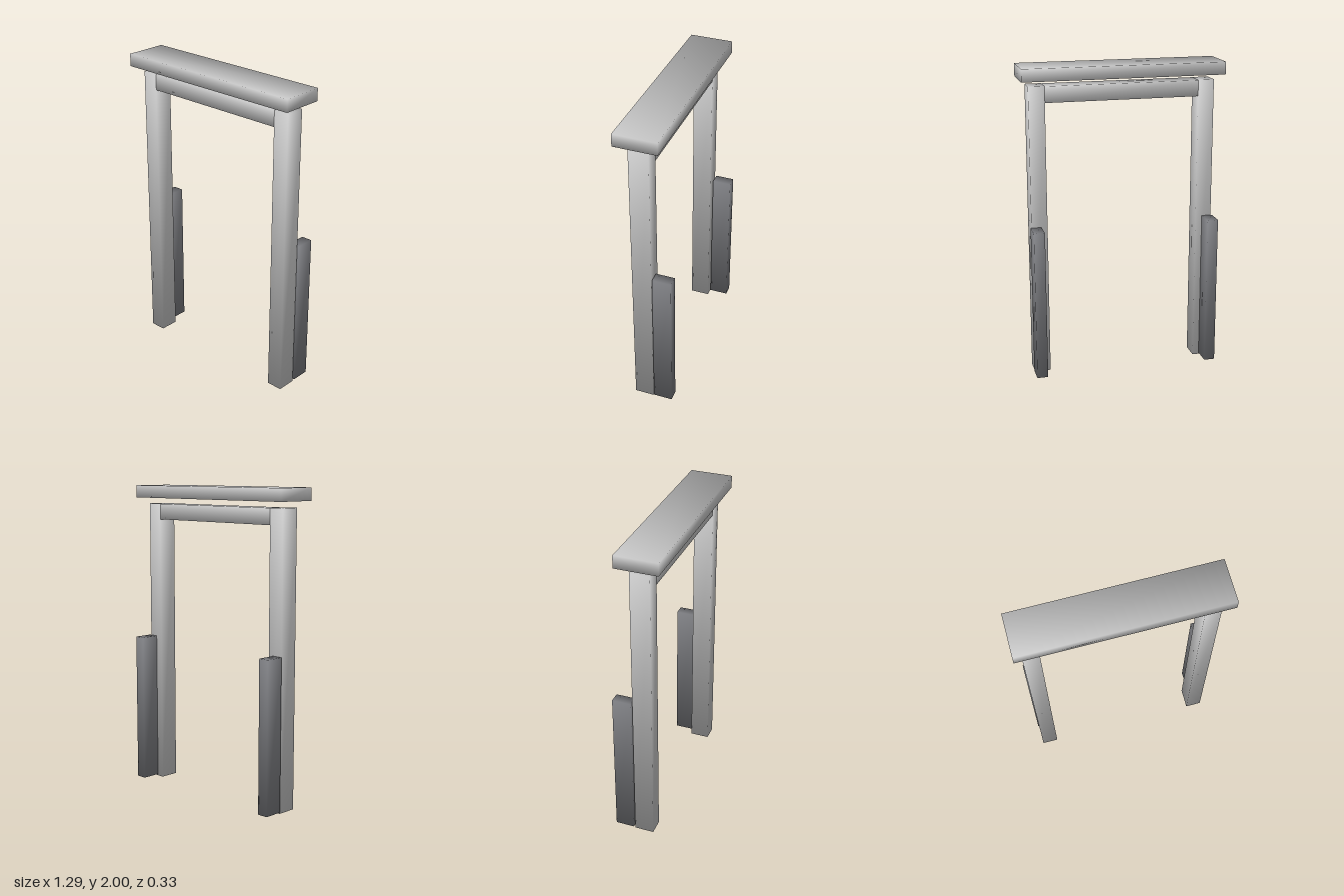
import * as THREE from 'three';

const grey = new THREE.MeshStandardMaterial({ color: 0xcccccc });
const dark = new THREE.MeshStandardMaterial({ color: 0x7d7e82 });

// Box between two corners; every corner normal points diagonally outward for soft shading
function block(name, [x0, y0, z0], [x1, y1, z1], material) {
  const geometry = new THREE.BoxGeometry(x1 - x0, y1 - y0, z1 - z0);
  const { position, normal } = geometry.attributes;
  const d = 1 / Math.sqrt(3);
  for (let i = 0; i < position.count; i++) {
    normal.setXYZ(i,
      d * Math.sign(position.getX(i)),
      d * Math.sign(position.getY(i)),
      d * Math.sign(position.getZ(i)));
  }
  const mesh = new THREE.Mesh(geometry, material);
  mesh.name = name;
  mesh.position.set((x0 + x1) / 2, (y0 + y1) / 2, (z0 + z1) / 2);
  return mesh;
}

export function createModel() {
  const group = new THREE.Group();
  group.name = 'gateway';

  // Overhanging cap slab, floating just above the frame
  group.add(block('capSlab', [-0.645, 1.92, -0.11], [0.645, 2, 0.163], grey));

  // Crossbeam, let into both posts and a hair thinner than they are
  group.add(block('crossbeam', [-0.57, 1.777, -0.034], [0.57, 1.879, 0.089], grey));

  // Upright posts
  group.add(block('rightPost', [-0.595, 0, -0.035], [-0.492, 1.88, 0.09], grey));
  group.add(block('leftPost', [0.492, 0, -0.035], [0.595, 1.88, 0.09], grey));

  // Dark half-height supports standing behind the posts
  group.add(block('rightSupport', [-0.602, 0.012, -0.164], [-0.532, 0.988, -0.042], dark));
  group.add(block('leftSupport', [0.532, 0.012, -0.164], [0.602, 0.988, -0.042], dark));

  return group;
}
